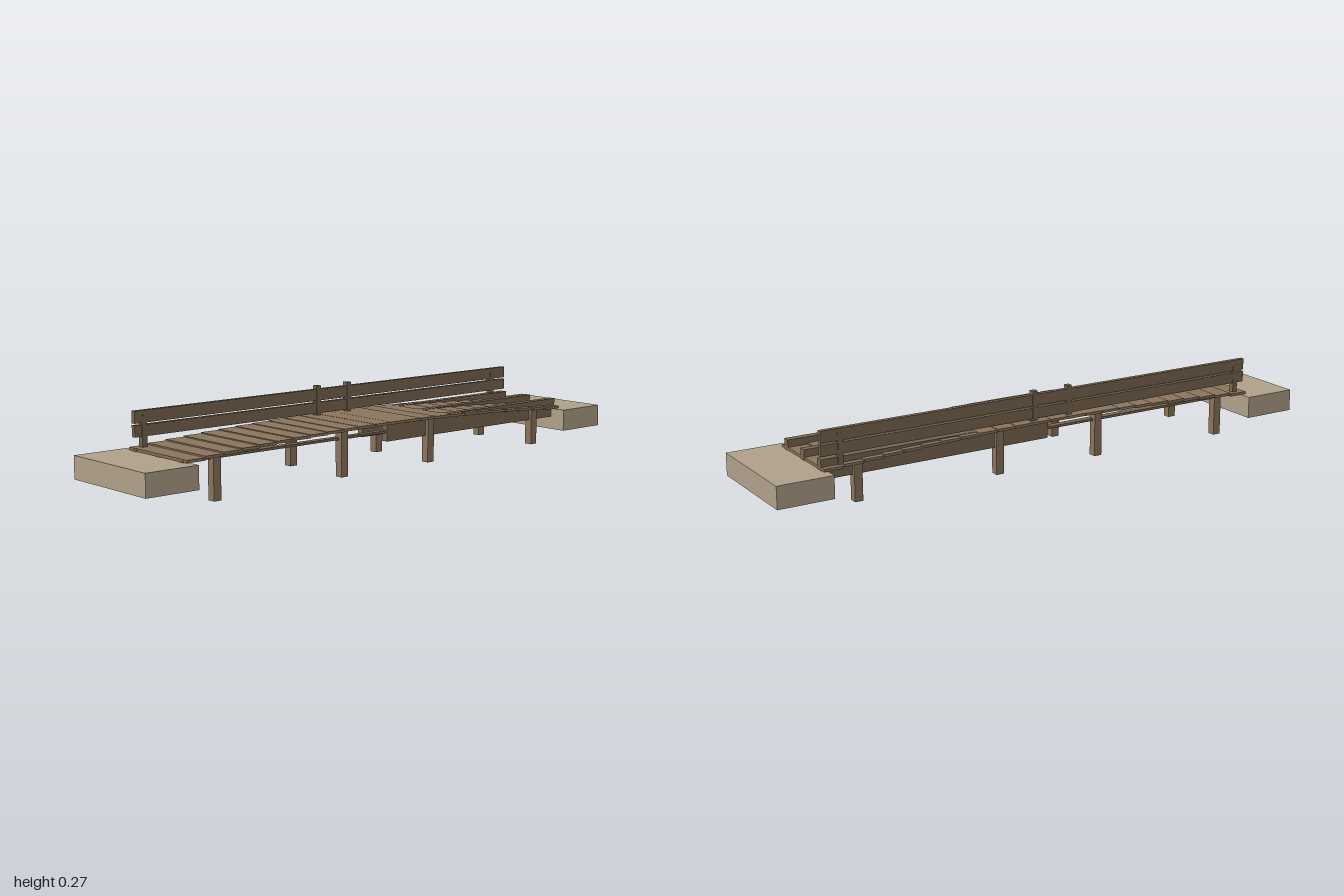
import * as THREE from 'three';

export function createModel() {
  const deckWood = new THREE.MeshStandardMaterial({ color: 0x8a745c });
  deckWood.name = 'deck wood';
  const darkWood = new THREE.MeshStandardMaterial({ color: 0x79674f });
  darkWood.name = 'dark wood';
  const stone = new THREE.MeshStandardMaterial({ color: 0xb0a08a, side: THREE.DoubleSide });
  stone.name = 'pale stone';

  const model = new THREE.Group();
  model.name = 'footbridge';
  const bridge = new THREE.Group();
  bridge.name = 'bridge';
  bridge.rotation.y = THREE.MathUtils.degToRad(20);
  model.add(bridge);

  // Box spanning y0..y1, centred on x and z along the bridge
  const addBox = (name, material, x, z, w, d, y0, y1) => {
    const mesh = new THREE.Mesh(new THREE.BoxGeometry(w, y1 - y0, d), material);
    mesh.position.set(x, (y0 + y1) / 2, z);
    mesh.name = name;
    bridge.add(mesh);
    return mesh;
  };

  const half = 0.82;
  const deckTop = (x) => 0.138 + 0.03 * (1 - (x / half) ** 2);

  // Arched deck of level planks
  const planks = 24;
  const pitch = (2 * half) / planks;
  for (let i = 0; i < planks; i++) {
    const x = -half + (i + 0.5) * pitch;
    const y = deckTop(x);
    addBox('deckPlank', deckWood, x, 0, pitch - 0.001, 0.306, y - 0.009, y);
  }

  // Stringers: thin on one half, deep on the other
  for (const z of [-0.12, 0, 0.12]) {
    addBox('thinStringer', darkWood, -half / 2, z, half, 0.025, 0.129, 0.137);
    addBox('deepStringer', darkWood, half / 2, z, half, 0.025, 0.1, 0.165);
  }

  // Piles in pairs
  const piles = [[-0.702, 0], [-0.194, 0.008], [0.19, 0.01], [0.7, 0.013]];
  for (const [x, foot] of piles) {
    for (const z of [-0.13, 0.13]) {
      addBox('pile', deckWood, x, z, 0.028, 0.028, foot, deckTop(x) - 0.007);
    }
  }

  // Railing along one side
  const railZ = -0.127;
  addBox('lowerRail', darkWood, 0, railZ, 2 * half, 0.016, 0.174, 0.211);
  addBox('upperRail', darkWood, 0, railZ, 2 * half, 0.016, 0.217, 0.256);
  for (const x of [-0.784, -0.082, 0.052, 0.754]) {
    const y = deckTop(x);
    addBox('railPost', darkWood, x, railZ, 0.018, 0.019, y - 0.008, y + 0.1);
  }

  // Hollow abutments, open underneath
  for (const side of [-1, 1]) {
    const block = addBox('abutment', stone, side * 0.899, 0, 0.19, 0.384, 0.055, 0.13);
    const index = [...block.geometry.index.array];
    index.splice(18, 6); // drop the bottom face
    block.geometry.setIndex(index);
    block.geometry.clearGroups();
  }

  return model;
}
